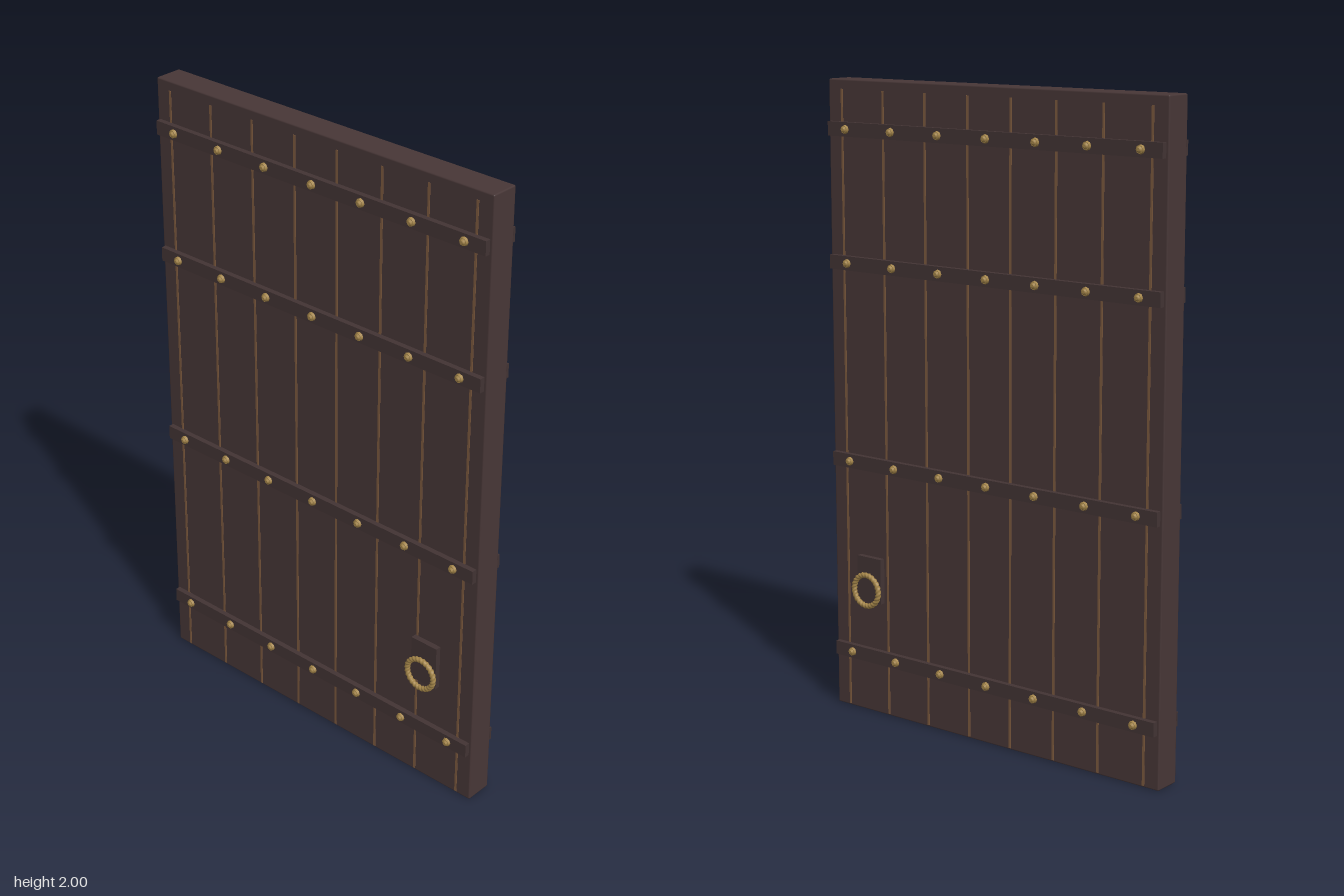
import * as THREE from 'three';
import { RoundedBoxGeometry } from 'three/addons/geometries/RoundedBoxGeometry.js';

const mat = (name, color, flatShading = false) => {
  const m = new THREE.MeshStandardMaterial({ color, flatShading });
  m.name = name;
  return m;
};

// Torus whose surface is pushed in and out along spiral strands, like a twisted rope
function twistedRing(radius, tube, strands, twists) {
  const g = new THREE.TorusGeometry(radius, tube, 12, 144);
  const p = g.attributes.position;
  for (let i = 0; i < p.count; i++) {
    const u = Math.atan2(p.getY(i), p.getX(i));
    const d = Math.hypot(p.getX(i), p.getY(i)) - radius;
    const v = Math.atan2(p.getZ(i), d);
    const r = tube * (0.86 + 0.14 * Math.cos(strands * v + twists * u));
    const R = radius + r * Math.cos(v);
    p.setXYZ(i, R * Math.cos(u), R * Math.sin(u), r * Math.sin(v));
  }
  g.computeVertexNormals();
  return g;
}

export function createModel() {
  const wood = mat('dark wood', 0x483737);
  const seam = mat('light seam wood', 0x7d5a3e);
  const iron = mat('dark strap', 0x433434);
  const brass = mat('brass', 0xa5864a);

  const door = new THREE.Group();
  door.name = 'door';
  const add = (parent, name, geo, material, x, y, z) => {
    const m = new THREE.Mesh(geo, material);
    m.name = name;
    m.position.set(x, y, z);
    parent.add(m);
    return m;
  };

  // Main slab with slightly softened edges
  add(door, 'slab', new RoundedBoxGeometry(1.254, 2, 0.09, 1, 0.005), wood, 0, 1, 0);

  const seamGeo = new THREE.BoxGeometry(0.008, 1.965, 0.004);
  const strapGeo = new THREE.BoxGeometry(1.236, 0.044, 0.022);
  const studBase = new THREE.CylinderGeometry(0.012, 0.014, 0.008, 8).rotateX(Math.PI / 2);
  const studTip = new THREE.CylinderGeometry(0.005, 0.01, 0.005, 8).rotateX(Math.PI / 2);
  const plateGeo = new THREE.BoxGeometry(0.096, 0.145, 0.018);
  const ringGeo = twistedRing(0.05, 0.0095, 2, 24);

  // Same fittings on the front and the back
  for (const s of [1, -1]) {
    const face = new THREE.Group();
    face.name = s > 0 ? 'frontFittings' : 'backFittings';
    door.add(face);

    // Seams between the planks
    for (const x of [0.08, 0.244, 0.408, 0.573])
      for (const side of [-1, 1])
        add(face, 'plankSeam', seamGeo, seam, side * x, 0.988, s * 0.0445);

    // Cross straps with rows of studs
    for (const y of [1.85, 1.44, 0.815, 0.19]) {
      add(face, 'strap', strapGeo, iron, 0, y, s * 0.051);
      for (let i = -3; i <= 3; i++) {
        const stud = new THREE.Group();
        stud.name = 'stud';
        stud.position.set(i * 0.182, y, s * 0.062);
        if (s < 0) stud.rotation.y = Math.PI;
        face.add(stud);
        add(stud, 'studBase', studBase, brass, 0, 0, 0.004);
        add(stud, 'studTip', studTip, brass, 0, 0, 0.0105);
      }
    }

    // Pull ring on its back plate
    add(face, 'handlePlate', plateGeo, iron, 0.459, 0.447, s * 0.068);
    add(face, 'pullRing', ringGeo, brass, 0.459, 0.415, s * 0.091);
  }
  return door;
}
